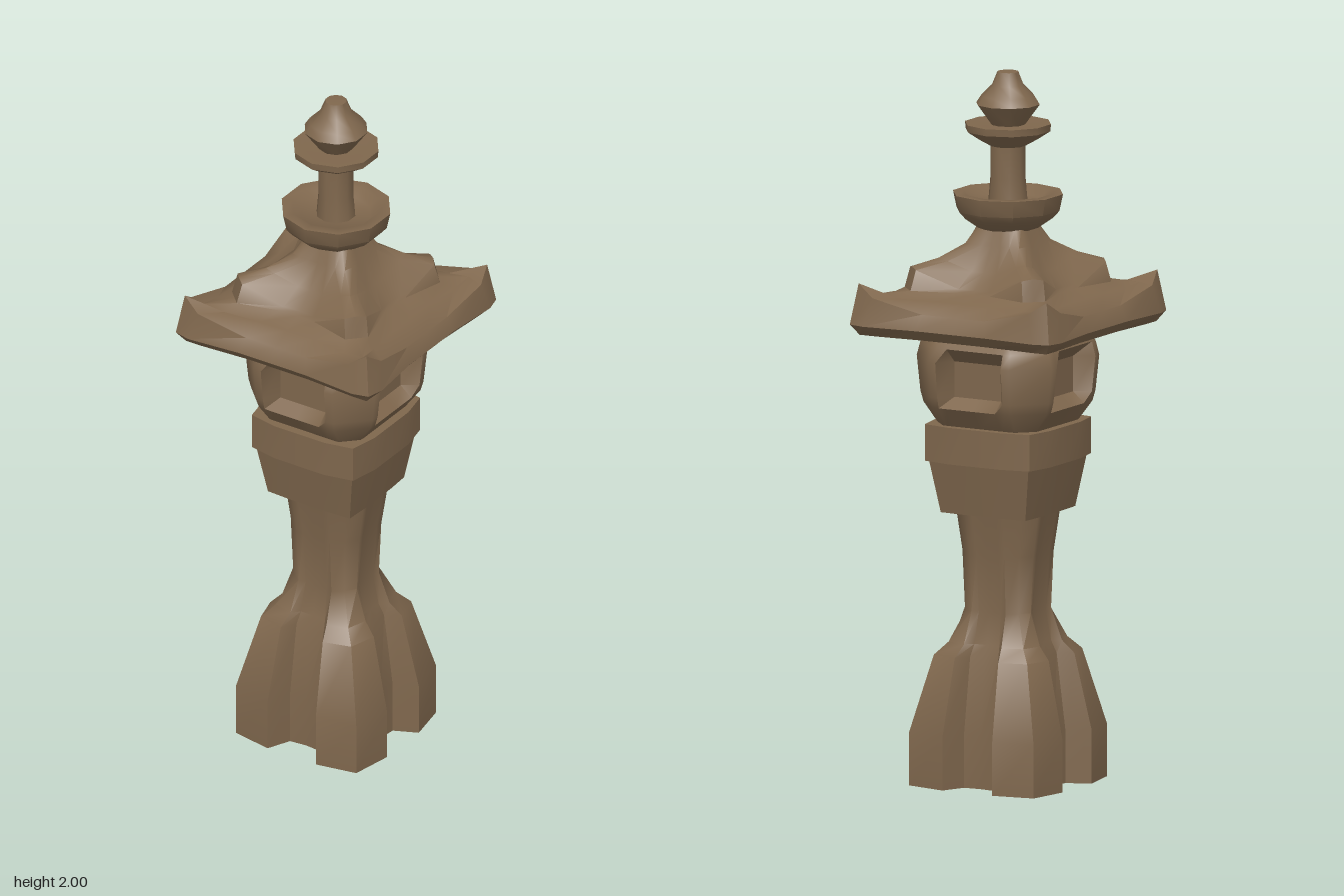
import * as THREE from 'three';
import { toCreasedNormals } from 'three/addons/utils/BufferGeometryUtils.js';

const stone = new THREE.MeshStandardMaterial({ color: 0x7f674d, side: THREE.DoubleSide });
stone.name = 'brown stone';

// Mirrors one eighth of an outline, [x, z, y] from mid side to corner, into a full ring.
function fullRing(eighth, y) {
  const mirrored = eighth
    .filter(([x, z]) => z > 0 && Math.abs(x - z) > 1e-6)
    .map(([x, z, h]) => [x, -z, h])
    .reverse();
  const side = [...mirrored, ...eighth];
  const ring = [];
  for (let k = 0; k < 4; k++) {
    for (const [x0, z0, h = y] of side) {
      let x = x0, z = z0;
      for (let i = 0; i < k; i++) [x, z] = [-z, x];
      ring.push([x, h, z]);
    }
  }
  return ring;
}

// Skins a stack of rings, listed from bottom to top as [y, eighth].
function loft(name, levels, { bottom = true, top = true, crease = 0.8 } = {}) {
  const rings = levels.map(([y, eighth]) => fullRing(eighth, y));
  const n = rings[0].length;
  const pos = rings.flat(2);
  const index = [];
  for (let r = 0; r < rings.length - 1; r++) {
    for (let j = 0; j < n; j++) {
      const a = r * n + j, b = r * n + (j + 1) % n;
      index.push(a, a + n, b, b, a + n, b + n);
    }
  }
  const cap = (r, up) => {
    const c = pos.length / 3;
    pos.push(0, rings[r][0][1], 0);
    for (let j = 0; j < n; j++) {
      const a = r * n + j, b = r * n + (j + 1) % n;
      index.push(c, up ? b : a, up ? a : b);
    }
  };
  if (bottom) cap(0, false);
  if (top) cap(rings.length - 1, true);
  const geo = new THREE.BufferGeometry();
  geo.setAttribute('position', new THREE.Float32BufferAttribute(pos, 3));
  geo.setIndex(index);
  const mesh = new THREE.Mesh(toCreasedNormals(geo, crease), stone);
  mesh.name = name;
  return mesh;
}

// Ten-sided turned part from [radius, y] points.
function turned(name, profile) {
  const geo = new THREE.LatheGeometry(profile.map(([r, y]) => new THREE.Vector2(r, y)), 10);
  geo.deleteAttribute('normal');
  const mesh = new THREE.Mesh(toCreasedNormals(geo, 0.75), stone);
  mesh.name = name;
  return mesh;
}

// Square with slightly bowed sides
const bowed = (mid, corner) => [[mid, 0], [mid, mid * 0.45], [corner, corner]];

// One level of the lamp house: bevelled square, with the window pushed in to depth
const houseLevel = (half, bevel, depth = half) =>
  [[depth, 0], [depth, 0.075], [half, 0.105], [half * 0.99, bevel]];

export function createModel() {
  const model = new THREE.Group();
  model.name = 'stoneLantern';

  // Four corner legs flowing into a slim column, open underneath
  const foot = [[0.15, 0], [0.155, 0.05], [0.222, 0.08], [0.2, 0.2]];
  model.add(loft('legsAndColumn', [
    [0, foot],
    [0.15, foot],
    [0.365, [[0.13, 0], [0.13, 0.045], [0.172, 0.07], [0.15, 0.15]]],
    [0.40, [[0.115, 0], [0.115, 0.04], [0.138, 0.06], [0.12, 0.12]]],
    [0.49, [[0.1, 0], [0.1, 0.035], [0.106, 0.055], [0.084, 0.084]]],
    [0.65, [[0.112, 0], [0.112, 0.035], [0.114, 0.055], [0.088, 0.088]]],
    [0.77, [[0.132, 0], [0.132, 0.04], [0.132, 0.06], [0.1, 0.1]]],
  ], { bottom: false, top: false }));

  // Flared capital and the band above it
  model.add(loft('capital', [[0.765, bowed(0.14, 0.136)], [0.915, bowed(0.166, 0.16)]]));
  model.add(loft('band', [[0.912, bowed(0.185, 0.168)], [1.015, bowed(0.185, 0.168)]]));

  // Lamp house with a recessed window on every side
  model.add(loft('lampHouse', [
    [1.012, houseLevel(0.158, 0.115)],
    [1.07, houseLevel(0.2, 0.125)],
    [1.1, houseLevel(0.208, 0.128, 0.165)],
    [1.2, houseLevel(0.219, 0.13, 0.165)],
    [1.24, houseLevel(0.208, 0.128)],
    [1.262, houseLevel(0.195, 0.12)],
    [1.28, houseLevel(0.17, 0.11)],
  ]));

  // Roof: eaves with upturned corners, raised star-shaped tier, concave peak
  model.add(loft('roof', [
    [1.275, [[0.29, 0], [0.29, 0.1], [0.3, 0.25], [0.3, 0.3]]],
    [1.305, [[0.318, 0], [0.318, 0.11], [0.332, 0.272], [0.32, 0.32]]],
    [1.35, [[0.302, 0], [0.302, 0.1], [0.316, 0.25, 1.385], [0.302, 0.302, 1.42]]],
    [1.38, [[0.25, 0], [0.25, 0.09], [0.26, 0.2], [0.265, 0.265, 1.388]]],
    [1.398, [[0.19, 0], [0.193, 0.055], [0.226, 0.18], [0.203, 0.203]]],
    [1.408, [[0.18, 0], [0.184, 0.05], [0.214, 0.17, 1.455], [0.194, 0.194, 1.46]]],
    [1.45, [[0.13, 0], [0.13, 0.04], [0.142, 0.11, 1.475], [0.14, 0.14, 1.482]]],
    [1.52, [[0.092, 0], [0.092, 0.03], [0.094, 0.06], [0.086, 0.086]]],
    [1.57, [[0.07, 0], [0.07, 0.02], [0.07, 0.045], [0.06, 0.06]]],
  ]));

  // Bowl, stem with dish, and finial
  model.add(turned('bowl', [
    [0, 1.555], [0.085, 1.56], [0.128, 1.59], [0.146, 1.61],
    [0.156, 1.657], [0.125, 1.657], [0.1, 1.635], [0, 1.635],
  ]));
  model.add(turned('stemAndDish', [
    [0.056, 1.63], [0.05, 1.7], [0.05, 1.79], [0.085, 1.81],
    [0.12, 1.833], [0.122, 1.853], [0.09, 1.853], [0, 1.845],
  ]));
  model.add(turned('finial', [
    [0.045, 1.845], [0.09, 1.907], [0.075, 1.93], [0.045, 1.96], [0.03, 1.997], [0, 2],
  ]));

  return model;
}
